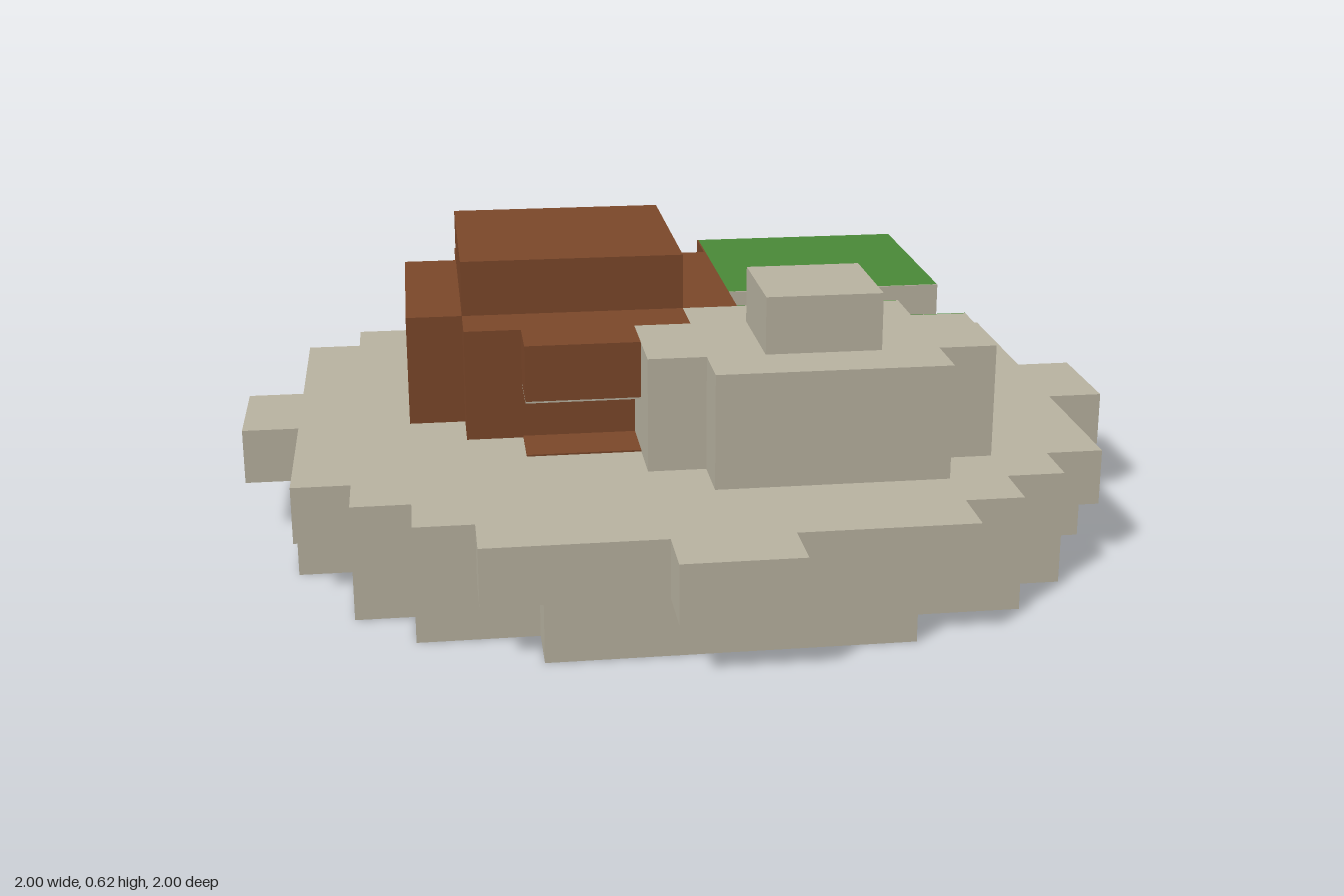
import * as THREE from 'three';

const U = 0.125; // size of one block
const T = 0.03;  // thickness of painted plates, in blocks

const stone = new THREE.MeshStandardMaterial({ name: 'stone', color: 0xbab4a2 });
const brown = new THREE.MeshStandardMaterial({ name: 'brown', color: 0x7c482a });
const green = new THREE.MeshStandardMaterial({ name: 'green', color: 0x4a8a38 });

// Box between two block corners
function block(name, material, [x0, y0, z0], [x1, y1, z1]) {
  const geo = new THREE.BoxGeometry((x1 - x0) * U, (y1 - y0) * U, (z1 - z0) * U);
  geo.translate((x0 + x1) / 2 * U, (y0 + y1) / 2 * U, (z0 + z1) / 2 * U);
  const mesh = new THREE.Mesh(geo, material);
  mesh.name = name;
  return mesh;
}

// Stepped slab: one quadrant of its outline, mirrored in x and z
function slab(name, material, [cx, cz], quadrant, y0, y1) {
  const half = [...quadrant, ...quadrant.map(([x, z]) => [-x, z]).reverse()];
  const outline = [...half, ...half.map(([x, z]) => [x, -z]).reverse()];
  const shape = new THREE.Shape(outline.map(([x, z]) => new THREE.Vector2((cx + x) * U, -(cz + z) * U)));
  const geo = new THREE.ExtrudeGeometry(shape, { depth: (y1 - y0) * U, bevelEnabled: false });
  geo.rotateX(-Math.PI / 2).translate(0, y0 * U, 0);
  const mesh = new THREE.Mesh(geo, material);
  mesh.name = name;
  return mesh;
}

export function createModel() {
  const model = new THREE.Group();
  model.name = 'plateOfFood';

  // Round stepped plate, two layers
  model.add(slab('plateFoot', stone, [0, 0],
    [[7, 3], [6, 3], [6, 5], [5, 5], [5, 6], [3, 6], [3, 7]], 0, 1));
  model.add(slab('plateRim', stone, [0, 0],
    [[8, 1], [7, 1], [7, 4], [6, 4], [6, 5], [5, 5], [5, 6], [4, 6], [4, 7], [1, 7], [1, 8]], 1, 2));

  // Brown mound with a cap and a knob front and back
  const mound = new THREE.Group();
  mound.name = 'brownMound';
  mound.add(slab('moundBody', brown, [-2, -1], [[3, 2], [2, 2], [2, 3]], 2, 4));
  mound.add(block('moundCap', brown, [-4, 4, -3], [0, 5, 1]));
  for (const [side, z] of [['front', 2], ['back', -5]]) {
    mound.add(block(side + 'Knob', brown, [-3, 3, z], [-1, 4, z + 1]));
    mound.add(block(side + 'KnobUnderside', stone, [-3, 3 - T, z], [-1, 3, z + 1]));
    mound.add(block(side + 'FloorPatch', brown, [-3, 2, z], [-1, 2 + T, z + 1]));
  }
  mound.add(block('moundGreenSide', green, [0, 2, -4], [T, 4, -3]));
  model.add(mound);

  // Pale mound with a small cap
  const pale = new THREE.Group();
  pale.name = 'paleMound';
  pale.add(slab('paleBody', stone, [2, 3], [[3, 1], [2, 1], [2, 2]], 2, 4));
  pale.add(block('paleCap', stone, [1, 4, 2], [3, 5, 4]));
  pale.add(block('paleGreenBack', green, [1, 2, 1 - T], [4, 4, 1]));
  pale.add(block('paleGreenCorner', green, [4, 2, 2 - T], [5, 4, 2]));
  model.add(pale);

  // Green block, with stone front and brown inner corner
  const greens = new THREE.Group();
  greens.name = 'greenBlock';
  greens.add(block('greenBody', green, [1, 2, -4], [5, 4, 0]));
  greens.add(block('greenStoneFront', stone, [1, 2, 0], [5, 4, T]));
  greens.add(block('greenBrownSide', brown, [1 - T, 2, -4], [1, 4, -3]));
  model.add(greens);

  return model;
}
